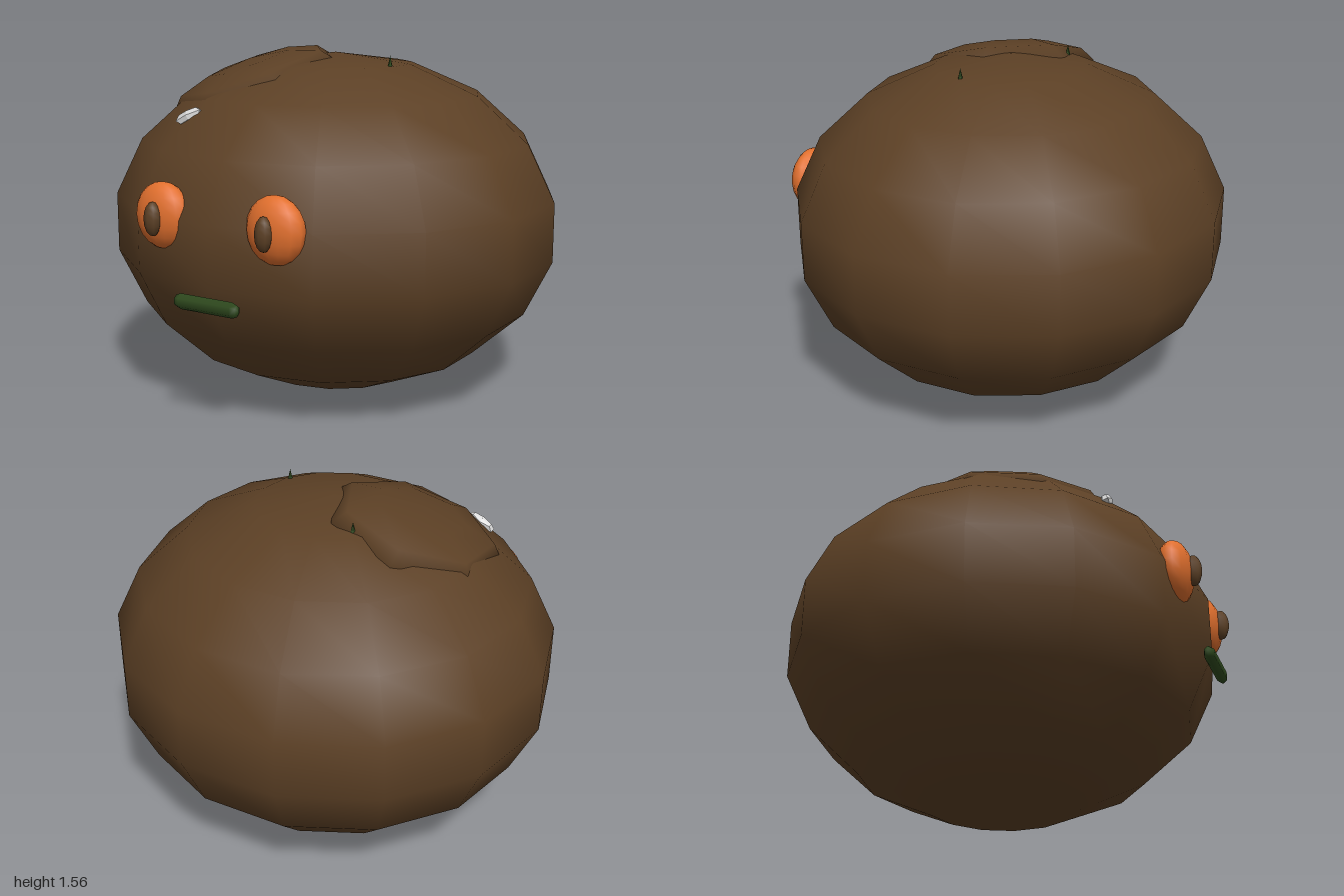
import * as THREE from 'three';

const mat = (name, color) => {
  const m = new THREE.MeshStandardMaterial({ color });
  m.name = name;
  return m;
};

export function createModel() {
  const brown = mat('earth brown', 0x5c4025);
  const orange = mat('orange', 0xe2702e);
  const green = mat('dark green', 0x2f4a1e);
  const white = mat('pale chip', 0xdcdcdc);

  const model = new THREE.Group();
  model.name = 'roundCreature';

  const add = (name, geometry, material, pos, rot = [0, 0, 0], parent = model) => {
    const mesh = new THREE.Mesh(geometry, material);
    mesh.name = name;
    mesh.position.set(...pos);
    mesh.rotation.set(...rot);
    parent.add(mesh);
    return mesh;
  };
  const ellipsoid = (rx, ry, rz, w, h) =>
    new THREE.SphereGeometry(1, w, h).rotateY(Math.PI / 2).scale(rx, ry, rz);

  // Squashed body, with a vertex column on the front and back centre lines
  add('body', ellipsoid(1.041, 0.772, 0.997, 14, 9), brown, [0, 0.772, -0.018]);

  // Shallow lump lying on the top of the head
  add('headLump', ellipsoid(0.4, 0.12, 0.42, 7, 6), brown, [-0.31, 1.4, 0.16], [0.2, 0, 0.26]);

  // Eyes with upright pupils, mirrored
  for (const side of [-1, 1]) {
    const eye = new THREE.Group();
    eye.name = side > 0 ? 'leftEye' : 'rightEye';
    eye.position.set(side * 0.285, 0.91, 0);
    model.add(eye);
    add('eyeball', ellipsoid(0.137, 0.143, 0.078, 14, 10), orange, [0, 0, 0.885], [0, 0, 0], eye);
    add('pupil', ellipsoid(0.038, 0.073, 0.037, 8, 8), brown, [-side * 0.005, -0.003, 0.963], [0, 0, 0], eye);
  }

  // Straight mouth bar with tapered ends
  const mouth = new THREE.CapsuleGeometry(0.034, 0.262, 2, 6)
    .rotateZ(Math.PI / 2).scale(1, 1, 0.75);
  add('mouth', mouth, green, [0, 0.58, 0.975]);

  // Pale chip on the forehead
  const chip = ellipsoid(0.077, 0.03, 0.026, 6, 4).toNonIndexed();
  chip.computeVertexNormals();
  add('foreheadChip', chip, white, [-0.355, 1.292, 0.612], [-0.3, 0, 0.45]);

  // Tiny sprouts on top
  for (const [x, y, z] of [[0.33, 1.515, 0.06], [-0.25, 1.52, -0.185]]) {
    add('sprout', new THREE.ConeGeometry(0.014, 0.06, 5), green, [x, y, z]);
  }

  return model;
}
